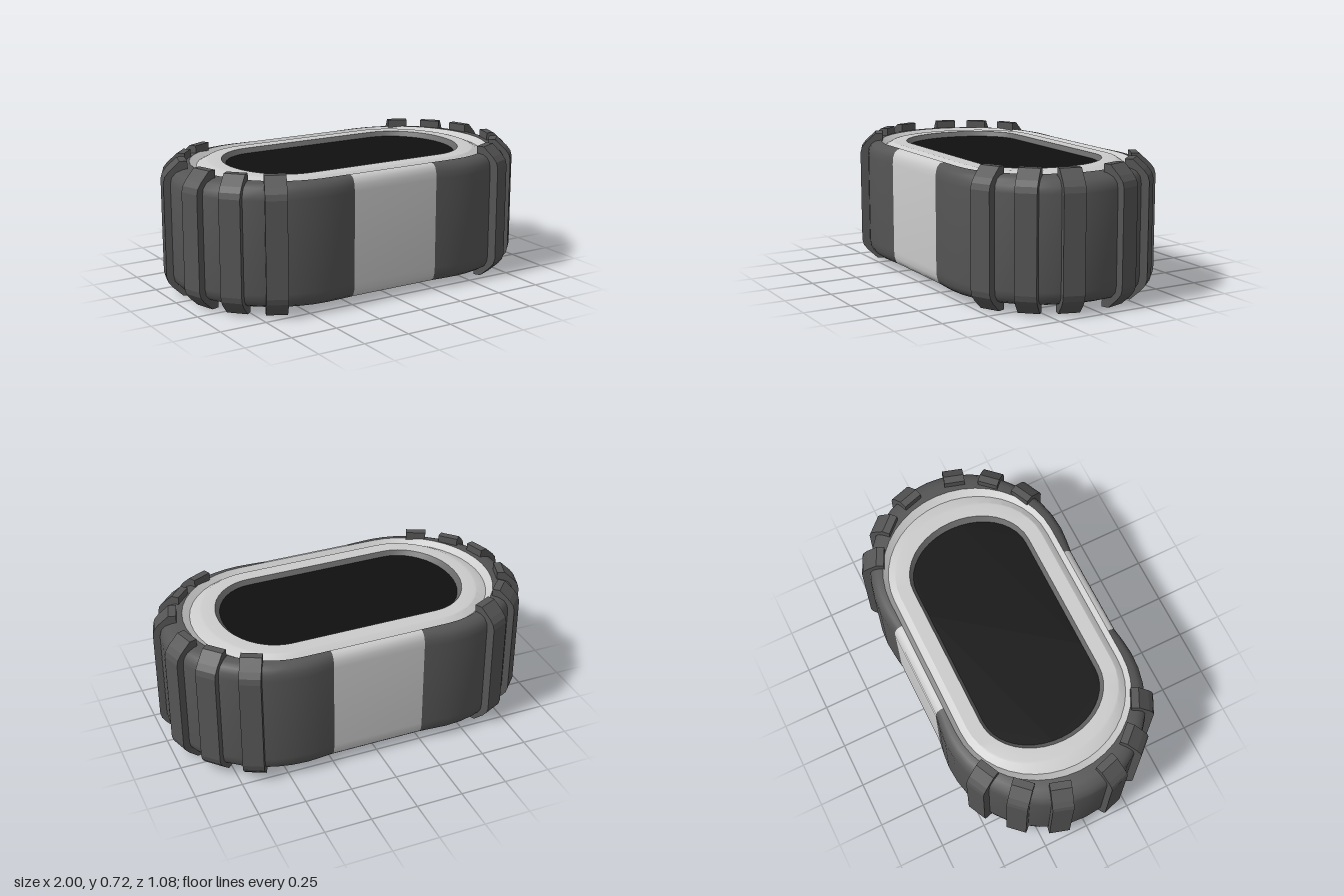
import * as THREE from 'three';
import { toCreasedNormals } from 'three/addons/utils/BufferGeometryUtils.js';

const MID = 0.36; // mid height, everything mirrors about it
const mat = (color) => new THREE.MeshStandardMaterial({ color });
const dark = mat(0x555555), grey = mat(0xcccccc), lipGrey = mat(0x666666), black = mat(0x101010);

// One rounded end of the oval, running from the front (+z) round +x to the back
function endCurve(X, Z, flare = 0) {
  const q = [[0.25, Z], [0.32, Z + flare * 0.6]];
  const n = 10;
  for (let i = 0; i <= n; i++) {
    const t = (i / n) * Math.PI / 2;
    q.push([0.4 + (X - 0.4) * Math.sin(t), (Z + flare) * Math.cos(t)]);
  }
  const back = q.slice(0, -1).reverse().map(([x, z]) => [x, -z]);
  return [...q, ...back];
}

function ovalCurve(X, Z) {
  const end = endCurve(X, Z);
  const loop = [...end, ...end.map(([x, z]) => [-x, -z])];
  return [...loop, loop[0]];
}

const panelCurve = (X, Z) => [[-0.25, Z], [0.25, Z]];

// Skin a profile of [X, Z, y, flare] rows along a plan curve
function loft(rows, curve, crease = 0.6) {
  const pos = [], idx = [];
  let w = 0;
  for (const [X, Z, y, flare] of rows) {
    const pts = curve(X, Z, flare);
    w = pts.length;
    for (const [x, z] of pts) pos.push(x, y, z);
  }
  for (let i = 0; i < rows.length - 1; i++) {
    for (let j = 0; j < w - 1; j++) {
      const a = i * w + j, b = a + 1, c = a + w, d = c + 1;
      idx.push(a, b, d, a, d, c);
    }
  }
  const g = new THREE.BufferGeometry();
  g.setAttribute('position', new THREE.Float32BufferAttribute(pos, 3));
  g.setIndex(idx);
  return toCreasedNormals(g, crease);
}

const flip = (rows) => rows.map(([X, Z, y, f]) => [X, Z, 2 * MID - y, f]).reverse();

export function createModel() {
  const model = new THREE.Group();
  const add = (name, geometry, material) => {
    const m = new THREE.Mesh(geometry, material);
    m.name = name;
    model.add(m);
    return m;
  };

  // Outer shell: two dark ends and two grey centre panels
  const shoulder = [
    [0.975, 0.522, 0.60, 0.018], [0.968, 0.519, 0.635, 0.017],
    [0.945, 0.51, 0.66, 0.014], [0.905, 0.495, 0.675, 0.008], [0.85, 0.475, 0.68, 0],
  ];
  const shell = [...flip(shoulder), ...shoulder];
  for (const turn of [0, Math.PI]) {
    add('endShell', loft(shell, endCurve), dark).rotation.y = turn;
    add('centrePanel', loft(shell, panelCurve), grey).rotation.y = turn;
  }

  // Grooved rim and dark inner lip, top and bottom
  const rim = [
    [0.85, 0.475, 0.68], [0.81, 0.45, 0.655], [0.755, 0.42, 0.678],
    [0.74, 0.415, 0.68], [0.675, 0.34, 0.68],
  ];
  const lip = [[0.675, 0.34, 0.68], [0.65, 0.322, 0.655]];
  add('topRim', loft(rim, ovalCurve, 0.3), grey);
  add('bottomRim', loft(flip(rim), ovalCurve, 0.3), grey);
  add('topLip', loft(lip, ovalCurve), lipGrey);
  add('bottomLip', loft(flip(lip), ovalCurve), lipGrey);

  // Black core filling the oval opening
  const oval = new THREE.Shape(ovalCurve(0.655, 0.325).slice(0, -1).map(([x, z]) => new THREE.Vector2(x, -z)));
  const core = new THREE.ExtrudeGeometry(oval, { depth: 0.59, bevelEnabled: false });
  core.rotateX(-Math.PI / 2).translate(0, MID - 0.295, 0);
  add('core', core, black);

  // Grip ribs: upright bars with chamfered ends, hooked over the shoulders
  const half = [[0, 0.61], [-0.008, 0.64], [-0.03, 0.668], [-0.085, 0.718], [-0.125, 0.718]];
  const outline = [...half, ...half.map(([r, y]) => [r, 2 * MID - y]).reverse()];
  const ribGeo = new THREE.ExtrudeGeometry(
    new THREE.Shape(outline.map(([r, y]) => new THREE.Vector2(r, y))),
    { depth: 0.11, bevelEnabled: false });
  ribGeo.translate(0, 0, -0.055);
  // outer face centre x, z and facing angle in degrees
  const ribs = [[0.983, 0.16, 17], [0.87, 0.365, 43], [0.69, 0.512, 64]];
  for (const [x, z, deg] of ribs) {
    const a = THREE.MathUtils.degToRad(deg);
    for (const sx of [1, -1]) for (const sz of [1, -1]) {
      const rib = add('gripRib', ribGeo, dark);
      rib.position.set(sx * x, 0, sz * z);
      rib.rotation.y = -Math.atan2(sz * Math.sin(a), sx * Math.cos(a));
    }
  }
  return model;
}
